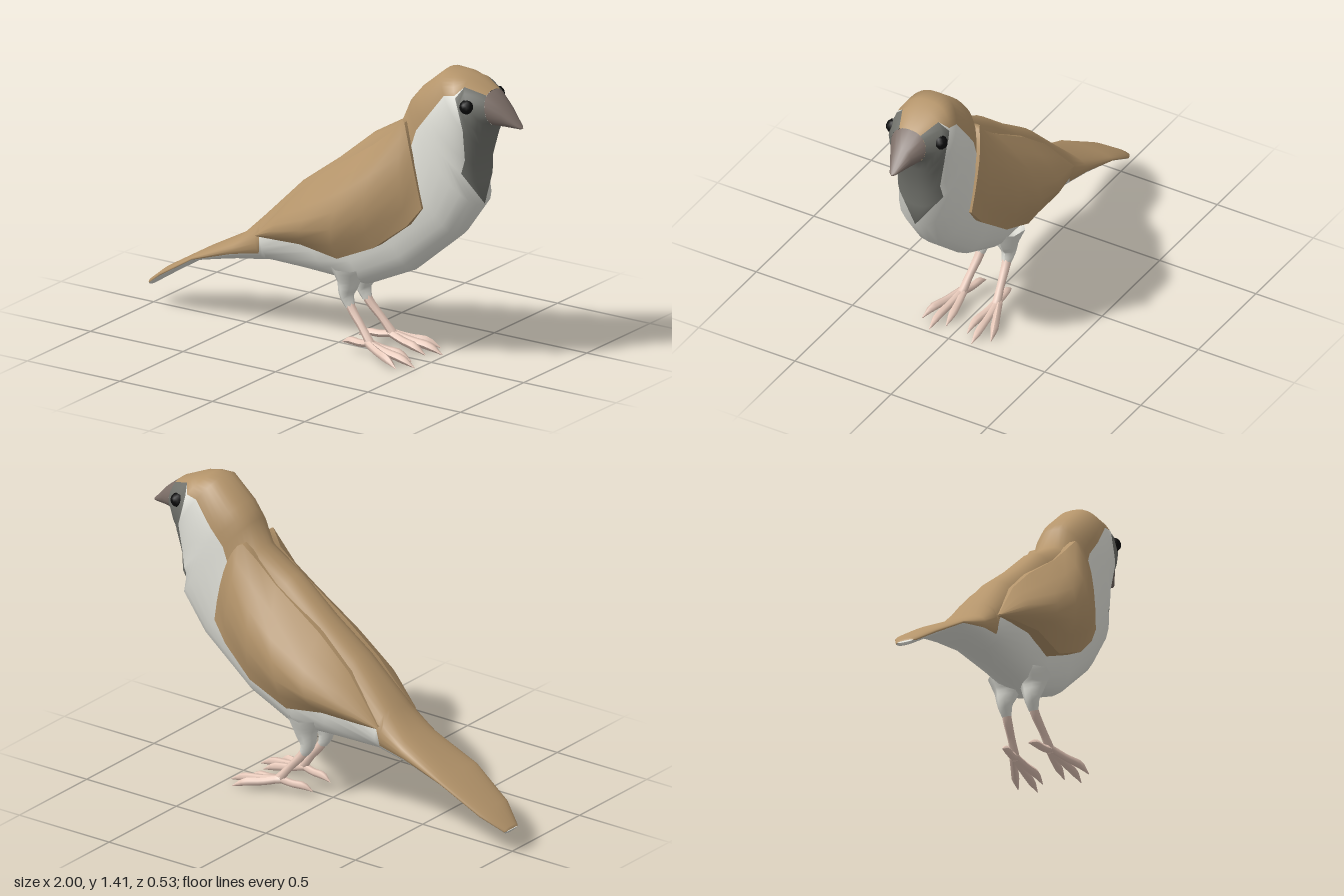
import * as THREE from 'three';

const paint = (color) => new THREE.MeshStandardMaterial({ color, side: THREE.DoubleSide });
const brown = paint(0xb5956b), white = paint(0xe3e3db), grey = paint(0x70716b);
const beakTone = paint(0x7d6f68), pink = paint(0xe8cabb), black = paint(0x0a0a0a);

// Body rings, tail to beak: top x, y, bottom x, y, half width,
// then how far down the brown reaches and where the grey begins (0 top, 1 bottom)
const rings = [
  [-1, 0.118, -0.997, 0.112, 0.04, 0.6, 1],
  [-0.995, 0.13, -0.99, 0.1, 0.05, 0.6, 1],
  [-0.9, 0.205, -0.89, 0.165, 0.105, 0.6, 1],
  [-0.7, 0.325, -0.7, 0.283, 0.14, 0.6, 1],
  [-0.47, 0.45, -0.5, 0.32, 0.135, 0.65, 1],
  [-0.38, 0.54, -0.34, 0.342, 0.135, 0.75, 1],
  [-0.36, 0.56, -0.31, 0.345, 0.135, 0.4, 1],
  [-0.17, 0.75, 0, 0.33, 0.14, 0.35, 1],
  [0.02, 0.89, 0.18, 0.32, 0.14, 0.3, 1],
  [0.2, 1.04, 0.42, 0.43, 0.14, 0.3, 1],
  [0.37, 1.14, 0.67, 0.64, 0.145, 0.3, 1],
  [0.42, 1.25, 0.79, 0.81, 0.155, 0.25, 1],
  [0.45, 1.285, 0.795, 0.92, 0.155, 0.28, 0.85],
  [0.48, 1.32, 0.795, 1, 0.155, 0.31, 0.88],
  [0.6, 1.42, 0.82, 1.1, 0.15, 0.28, 0.74],
  [0.67, 1.415, 0.835, 1.15, 0.145, 0.28, 0.32],
  [0.73, 1.4, 0.85, 1.2, 0.132, 0.12, 0.12],
  [0.835, 1.355, 0.865, 1.2, 0.09, 0.08, 0.08],
  [0.91, 1.295, 0.92, 1.2, 0.055, 0, 0],
  [0.985, 1.215, 0.985, 1.198, 0.016, 0, 0],
  [0.995, 1.206, 0.995, 1.2, 0.004, 0, 0],
];
const beakStart = 17, last = rings.length - 1;

// Point on the body: u runs along the rings, angle from the back down to the belly
function bodyPoint(u, angle, side) {
  const i = Math.min(Math.floor(u), last - 1), t = u - i;
  const [tx, ty, bx, by, w] = rings[i].map((a, k) => THREE.MathUtils.lerp(a, rings[i + 1][k], t));
  const f = (1 - Math.cos(angle)) / 2, s = Math.sin(angle);
  return new THREE.Vector3(tx + (bx - tx) * f, ty + (by - ty) * f,
    side * w * Math.sign(s) * Math.abs(s) ** 0.8);
}

function bodyNormal(u, angle, side) {
  const du = bodyPoint(Math.min(u + 0.4, last), angle, side).sub(bodyPoint(Math.max(u - 0.4, 0), angle, side));
  const dv = bodyPoint(u, angle + 0.08, side).sub(bodyPoint(u, angle - 0.08, side));
  return dv.cross(du).multiplyScalar(side).normalize();
}

// Surface through rows of points
function grid(rows, flip, normals) {
  const cols = rows[0].length, index = [];
  for (let i = 0; i < rows.length - 1; i++) {
    for (let j = 0; j < cols - 1; j++) {
      const a = i * cols + j, b = a + 1, c = a + cols, d = c + 1;
      index.push(...(flip ? [a, c, b, b, c, d] : [a, b, c, b, d, c]));
    }
  }
  const geo = new THREE.BufferGeometry().setFromPoints(rows.flat());
  geo.setIndex(index);
  if (normals) {
    geo.setAttribute('normal', new THREE.Float32BufferAttribute(normals.flatMap((n) => n.toArray()), 3));
  } else geo.computeVertexNormals();
  return geo;
}

// Colour patch of the body between two boundaries
function patch(from, to, lo, hi, side) {
  const rows = [], normals = [], cols = 8;
  for (let i = from; i <= to; i++) {
    const a = Math.acos(1 - 2 * lo(rings[i])), b = Math.acos(1 - 2 * hi(rings[i])), row = [];
    for (let j = 0; j <= cols; j++) {
      const angle = a + (b - a) * j / cols;
      row.push(bodyPoint(i, angle, side));
      normals.push(bodyNormal(i, angle, side));
    }
    rows.push(row);
  }
  return grid(rows, side < 0, normals);
}

// Wing sections, tip to shoulder: top, middle and bottom points
const wingSections = [
  [[-0.35, 0.487, 0.13], [-0.355, 0.483, 0.145], [-0.35, 0.478, 0.14]],
  [[-0.17, 0.7, 0.11], [-0.2, 0.58, 0.21], [-0.25, 0.49, 0.165]],
  [[0, 0.84, 0.1], [-0.02, 0.65, 0.26], [-0.08, 0.505, 0.19]],
  [[0.25, 1.01, 0.095], [0.15, 0.72, 0.26], [0.12, 0.475, 0.19]],
  [[0.36, 1.1, 0.09], [0.3, 0.82, 0.243], [0.32, 0.565, 0.195]],
  [[0.42, 1.17, 0.115], [0.45, 0.93, 0.185], [0.48, 0.69, 0.165]],
  [[0.44, 1.16, 0.125], [0.495, 1.03, 0.157], [0.55, 0.78, 0.15]],
];

function wing(side) {
  const group = new THREE.Group();
  const place = ([x, y, z]) => new THREE.Vector3(x, y, z * side);
  const outer = wingSections.map((section) => {
    const [top, mid, bottom] = section.map(place);
    const control = mid.clone().multiplyScalar(2).addScaledVector(top, -0.5).addScaledVector(bottom, -0.5);
    return new THREE.QuadraticBezierCurve3(top, control, bottom).getPoints(6);
  });
  // Edge strips that close the wing against the body
  const tuck = (p) => new THREE.Vector3(p.x, p.y, 0.07 * side);
  const lower = outer.map((row) => [row[6], tuck(row[6])]);
  const front = [outer[6], outer[6].map(tuck)];
  const upper = outer.map((row) => [tuck(row[0]), row[0]]);
  for (const rows of [outer, lower, front, upper]) group.add(new THREE.Mesh(grid(rows, side < 0), brown));
  return group;
}

// Tapered tube through [x, y, z, radius] points
function limb(points, side, material, sides = 7) {
  const path = new THREE.CatmullRomCurve3(points.map(([x, y, z]) => new THREE.Vector3(x, y, z * side)));
  const steps = (points.length - 1) * 3;
  const geo = new THREE.TubeGeometry(path, steps, 1, sides);
  // Sample by path parameter so that the radii follow their points
  const pos = geo.attributes.position, p = new THREE.Vector3();
  for (let i = 0; i <= steps; i++) {
    const centre = path.getPointAt(i / steps);
    const t = path.getUtoTmapping(i / steps) * (points.length - 1);
    const k = Math.min(Math.floor(t), points.length - 2);
    const radius = THREE.MathUtils.lerp(points[k][3], points[k + 1][3], t - k);
    for (let j = 0; j <= sides; j++) {
      const n = i * (sides + 1) + j;
      p.fromBufferAttribute(pos, n).sub(centre).multiplyScalar(radius).add(centre);
      pos.setXYZ(n, p.x, p.y, p.z);
    }
  }
  geo.computeVertexNormals();
  return new THREE.Mesh(geo, material);
}

const toes = [
  [[0.22, 0.07, 0.09, 0.018], [0.32, 0.05, 0.1, 0.018], [0.42, 0.035, 0.108, 0.02], [0.485, 0.008, 0.11, 0.002]],
  [[0.22, 0.07, 0.095, 0.018], [0.3, 0.05, 0.13, 0.018], [0.37, 0.04, 0.16, 0.02], [0.43, 0.012, 0.178, 0.002]],
  [[0.22, 0.07, 0.085, 0.018], [0.3, 0.05, 0.07, 0.018], [0.37, 0.04, 0.058, 0.02], [0.43, 0.012, 0.055, 0.002]],
  [[0.24, 0.07, 0.09, 0.018], [0.17, 0.058, 0.08, 0.017], [0.11, 0.058, 0.072, 0.018], [0.065, 0.04, 0.065, 0.002]],
];

export function createModel() {
  const model = new THREE.Group();
  const add = (object, name) => {
    object.name = name;
    model.add(object);
  };
  const zero = () => 0, one = () => 1, brownEdge = (r) => r[5], greyEdge = (r) => r[6];

  for (const side of [1, -1]) {
    const label = side > 0 ? 'front' : 'back';
    const skin = (name, material, ...args) => add(new THREE.Mesh(patch(...args, side), material), label + name);
    skin('BrownBack', brown, 0, beakStart, zero, brownEdge);
    skin('WhiteBelly', white, 0, 16, brownEdge, greyEdge);
    skin('GreyThroat', grey, 11, beakStart, greyEdge, one);
    skin('Beak', beakTone, beakStart, last, zero, one);
    add(wing(side), label + 'Wing');

    // Eye
    const eye = new THREE.Mesh(new THREE.IcosahedronGeometry(0.034, 1), black);
    eye.position.set(0.775, 1.295, 0.122 * side);
    add(eye, label + 'Eye');

    // Feathered thigh, shank and toes
    add(limb([[0.1, 0.4, 0.065, 0.085], [0.1, 0.33, 0.066, 0.055], [0.09, 0.27, 0.068, 0.036],
      [0.11, 0.215, 0.068, 0.022]], side, white), label + 'Thigh');
    add(limb([[0.09, 0.26, 0.066, 0.02], [0.12, 0.205, 0.07, 0.022], [0.18, 0.135, 0.08, 0.018],
      [0.24, 0.06, 0.09, 0.022]], side, pink), label + 'Leg');
    const foot = new THREE.Group();
    for (const toe of toes) foot.add(limb(toe, side, pink, 6));
    add(foot, label + 'Foot');
  }
  return model;
}
